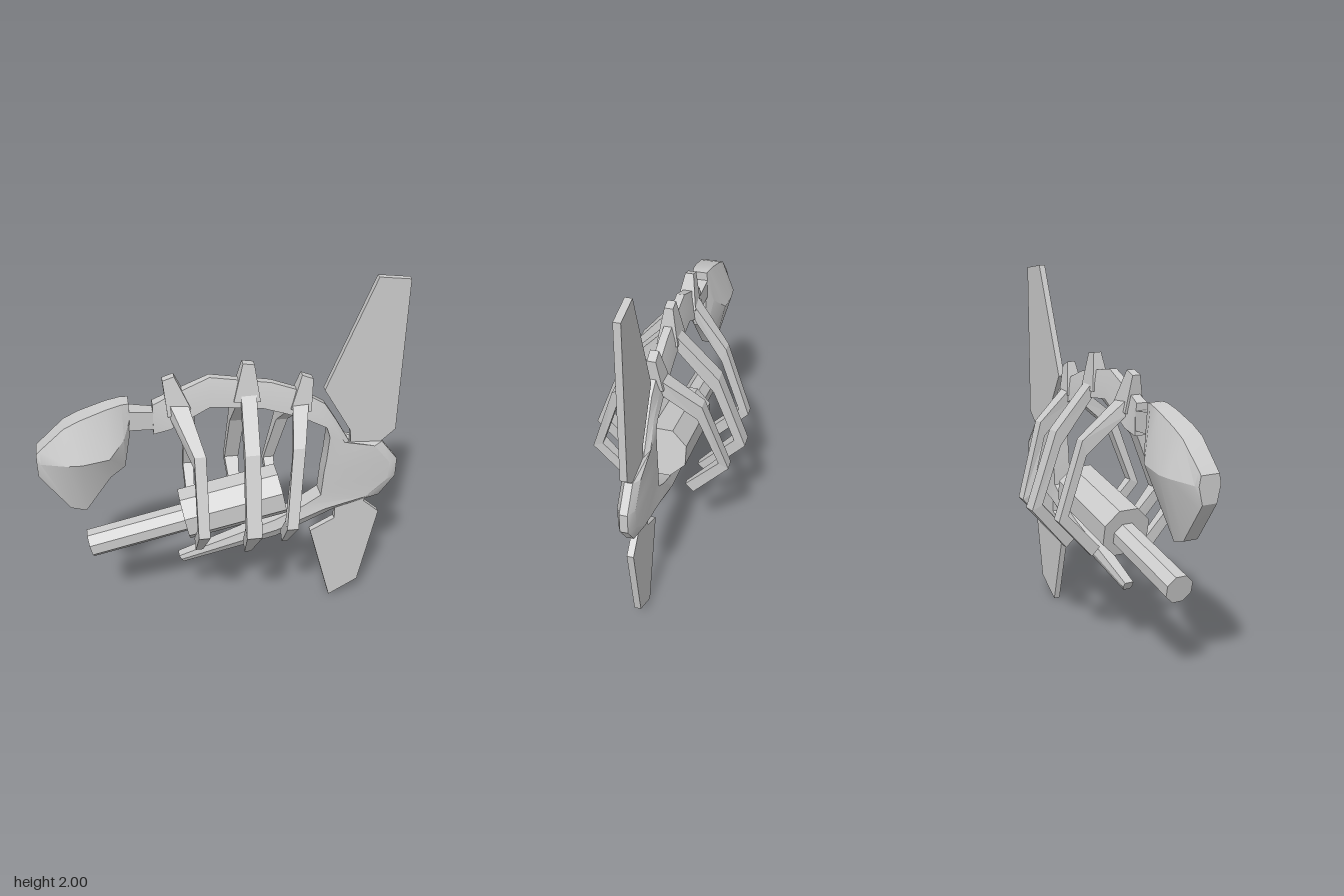
import * as THREE from 'three';
import { toCreasedNormals } from 'three/addons/utils/BufferGeometryUtils.js';

const flat = new THREE.MeshStandardMaterial({ color: 0xcccccc, flatShading: true });
const smooth = new THREE.MeshStandardMaterial({ color: 0xcccccc });

// Skin a series of closed rings of [x, y, z] and cap both ends; winding is set from the volume.
function loft(rings) {
  const tris = [];
  const n = rings[0].length;
  for (let i = 0; i < rings.length - 1; i++) {
    for (let j = 0; j < n; j++) {
      const k = (j + 1) % n;
      const [a, b, c, d] = [rings[i][j], rings[i][k], rings[i + 1][k], rings[i + 1][j]];
      tris.push([a, b, c], [a, c, d]);
    }
  }
  const first = rings[0], last = rings[rings.length - 1];
  for (let j = 1; j < n - 1; j++) {
    tris.push([first[0], first[j + 1], first[j]], [last[0], last[j], last[j + 1]]);
  }
  const v = (p) => new THREE.Vector3(...p);
  const volume = tris.reduce((s, [a, b, c]) => s + v(a).dot(v(b).cross(v(c))), 0);
  const ordered = volume < 0 ? tris.map(([a, b, c]) => [a, c, b]) : tris;
  const geo = new THREE.BufferGeometry();
  geo.setAttribute('position', new THREE.Float32BufferAttribute(ordered.flat(2), 3));
  geo.computeVertexNormals();
  return geo;
}

// Flat plate cut from an outline in the xy plane, centred on z = 0
function plate(points, depth) {
  const shape = new THREE.Shape(points.map(([x, y]) => new THREE.Vector2(x, y)));
  return new THREE.ExtrudeGeometry(shape, { depth, bevelEnabled: false }).translate(0, 0, -depth / 2);
}

// Eight-sided rod between two points in the xy plane
function rod([x0, y0], [x1, y1], radius) {
  const length = Math.hypot(x1 - x0, y1 - y0);
  return new THREE.CylinderGeometry(radius, radius, length, 8)
    .rotateY(Math.PI / 8)
    .rotateZ(Math.atan2(y1 - y0, x1 - x0) - Math.PI / 2)
    .translate((x0 + x1) / 2, (y0 + y1) / 2, 0);
}

export function createModel() {
  const group = new THREE.Group();
  const add = (name, geo, mat = flat) => {
    const mesh = new THREE.Mesh(geo, mat);
    mesh.name = name;
    group.add(mesh);
    return mesh;
  };

  // Skull: x, top y, middle y, bottom y, then half widths at those heights
  const skull = [
    [-0.97, 1.16, 1.11, 1.02, 0.05, 0.06, 0.04],
    [-0.95, 1.18, 1.11, 0.99, 0.05, 0.07, 0.04],
    [-0.82, 1.3, 1.12, 0.805, 0.055, 0.125, 0.04],
    [-0.74, 1.34, 1.12, 0.78, 0.055, 0.13, 0.04],
    [-0.6, 1.39, 1.14, 0.99, 0.05, 0.125, 0.06],
    [-0.52, 1.41, 1.22, 1.04, 0.045, 0.075, 0.04],
    [-0.485, 1.41, 1.32, 1.24, 0.04, 0.045, 0.035],
  ].map(([x, t, m, b, wt, wm, wb]) => [
    [x, t, wt], [x, m, wm], [x, b, wb], [x, b, -wb], [x, m, -wm], [x, t, -wt],
  ]);
  add('skull', toCreasedNormals(loft(skull), 0.5), smooth);

  // Neck
  add('neck', loft([[-0.5, 1.365, 1.255, 0.045], [-0.35, 1.345, 1.245, 0.035]].map(
    ([x, t, b, w]) => [[x, t, w], [x, b, w], [x, b, -w], [x, t, -w]])));

  // Spine, tail block and lower jaw in one sweep:
  // outer x, y, inner x, y, bevel fraction, half widths at outer edge, bevel and inner edge
  const sweep = [
    [-0.365, 1.385, -0.365, 1.22, 0.5, 0.03, 0.04, 0.04],
    [-0.29, 1.42, -0.28, 1.245, 0.5, 0.025, 0.04, 0.05],
    [-0.07, 1.515, -0.07, 1.36, 0.5, 0.02, 0.04, 0.05],
    [0.25, 1.46, 0.2, 1.33, 0.5, 0.02, 0.04, 0.05],
    [0.38, 1.41, 0.33, 1.285, 0.5, 0.02, 0.04, 0.05],
    [0.54, 1.31, 0.44, 1.24, 0.5, 0.02, 0.04, 0.05],
    [0.61, 1.2, 0.55, 1.18, 0.4, 0.02, 0.04, 0.05],
    [0.69, 1.06, 0.57, 1.12, 0.3, 0.02, 0.045, 0.05],
    [0.87, 1.05, 0.56, 0.98, 0.15, 0.02, 0.045, 0.05],
    [0.965, 0.93, 0.55, 0.9, 0.12, 0.02, 0.045, 0.05],
    [0.965, 0.82, 0.545, 0.82, 0.12, 0.02, 0.045, 0.05],
    [0.88, 0.7, 0.54, 0.75, 0.25, 0.02, 0.05, 0.05],
    [0.64, 0.64, 0.45, 0.69, 0.4, 0.025, 0.06, 0.05],
    [0.3, 0.48, 0.29, 0.6, 0.5, 0.025, 0.055, 0.04],
    [-0.225, 0.355, -0.25, 0.4, 0.5, 0.02, 0.03, 0.025],
  ].map(([ox, oy, ix, iy, f, wo, wm, wi]) => {
    const mx = ox + (ix - ox) * f, my = oy + (iy - oy) * f;
    return [[ox, oy, wo], [mx, my, wm], [ix, iy, wi], [ix, iy, -wi], [mx, my, -wm], [ox, oy, -wo]];
  });
  add('spineAndTail', toCreasedNormals(loft(sweep), 0.5), smooth);

  // Spikes along the spine: tip edge, then base edge
  const spikes = [
    [[-0.31, 1.515], [-0.25, 1.535], [-0.17, 1.36], [-0.29, 1.32]],
    [[0.1, 1.58], [0.16, 1.57], [0.19, 1.37], [0.05, 1.38]],
    [[0.41, 1.49], [0.47, 1.465], [0.46, 1.29], [0.35, 1.31]],
  ];
  for (const [a, b, c, d] of spikes) {
    const level = (p, q, w) => [[...p, w], [...q, w], [...q, -w], [...p, -w]];
    add('spineSpike', loft([level(a, b, 0.022), level(d, c, 0.055)]));
  }

  // Rib profile seen end-on: outer z, y and inner z, y at root, shoulder, elbow and tip
  const profile = [
    [0.03, 1.43, 0.03, 1.35],
    [0.26, 1.18, 0.235, 1.1],
    [0.41, 0.77, 0.35, 0.795],
    [0.2, 0.525, 0.15, 0.57],
  ];
  // Each rib: reach, then the x range at the same four stations
  const ribs = [
    [0.91, [[-0.285, -0.19], [-0.18, -0.12], [-0.18, -0.12], [-0.175, -0.135]]],
    [1, [[0.09, 0.17], [0.075, 0.155], [0.065, 0.145], [0.09, 0.125]]],
    [0.89, [[0.365, 0.45], [0.33, 0.395], [0.285, 0.345], [0.3, 0.33]]],
  ];
  ribs.forEach(([reach, spans], i) => {
    const drop = i === 2 ? 0.08 : i === 0 ? 0.03 : 0;
    for (const side of [1, -1]) {
      const rings = profile.map(([oz, oy, iz, iy], s) => {
        const [x0, x1] = spans[s];
        const lower = s === 0 ? drop : s === 3 ? -0.03 * (i !== 1) : 0;
        const zo = side * oz * reach, zi = side * iz * reach;
        return [[x0, oy - lower, zo], [x1, oy - lower, zo], [x1, iy - lower, zi], [x0, iy - lower, zi]];
      });
      add(side > 0 ? 'frontRib' : 'backRib', loft(rings));
    }
  });

  // Tail fins
  add('upperFin', plate([[0.775, 2], [0.94, 1.98], [0.94, 1.12], [0.865, 1.05], [0.8, 0.98],
    [0.7, 1.0], [0.69, 1.13], [0.535, 1.39]], 0.035));
  add('lowerFin', plate([[0.635, 0.7], [0.635, 0.56], [0.5, 0.485], [0.635, 0], [0.8, 0.1],
    [0.89, 0.58], [0.8, 0.66], [0.8, 0.74]], 0.035));

  // Cannon held inside the ribs
  add('cannonBody', rod([-0.215, 0.67], [0.32, 0.785], 0.143));
  add('cannonBarrel', rod([-0.735, 0.53], [-0.18, 0.655], 0.078));

  return group;
}
